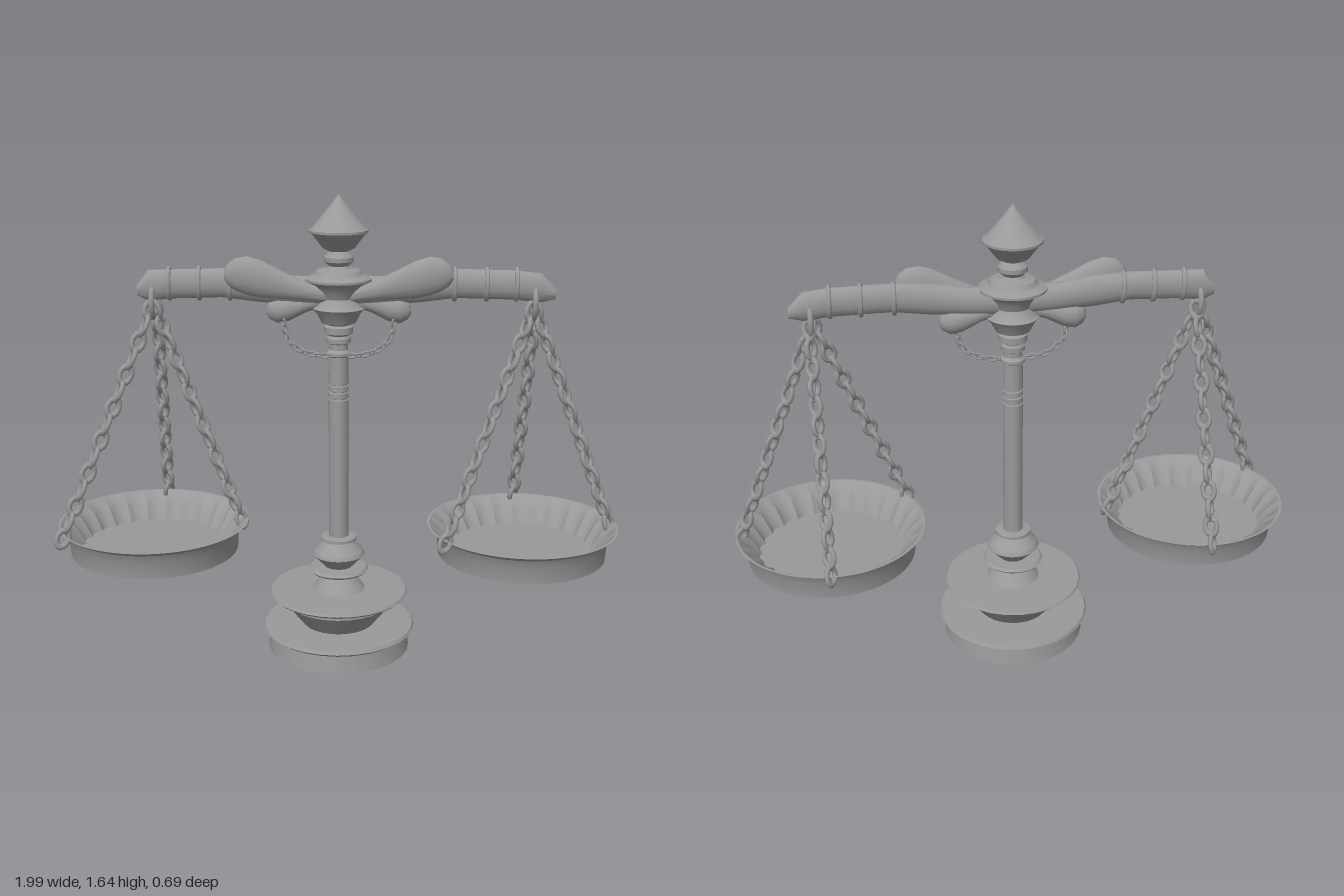
import * as THREE from 'three';
import { mergeGeometries, toCreasedNormals } from 'three/addons/utils/BufferGeometryUtils.js';

const CZ = -0.01; // depth of the column axis

export function createModel() {
  const model = new THREE.Group();
  model.name = 'balanceScale';
  const metal = new THREE.MeshStandardMaterial({ color: 0x999999 });
  metal.name = 'grey metal';

  const add = (name, geometry, x = 0, y = 0, z = 0) => {
    const mesh = new THREE.Mesh(geometry, metal);
    mesh.name = name;
    mesh.position.set(x, y, z);
    model.add(mesh);
    return mesh;
  };

  // Turned part from [radius, height] pairs, bottom to top
  const turned = (points, segments = 28) => toCreasedNormals(
    new THREE.LatheGeometry(points.map(([r, y]) => new THREE.Vector2(r, y)), segments), 0.5);

  // Elliptical sections [x, y, halfHeight, halfDepth] joined along x
  const loft = (sections, z = CZ, sides = 16) => {
    const list = [...sections].sort((a, b) => a[0] - b[0]);
    const first = list[0], last = list[list.length - 1];
    list.unshift([first[0], first[1], 0.0005, 0.0005]);
    list.push([last[0], last[1], 0.0005, 0.0005]);
    const pos = [], index = [];
    list.forEach(([x, y, h, d], i) => {
      for (let j = 0; j < sides; j++) {
        const a = (j / sides) * Math.PI * 2;
        pos.push(x, y + h * Math.cos(a), z + d * Math.sin(a));
        if (i === list.length - 1) continue;
        const p = i * sides + j, q = i * sides + (j + 1) % sides;
        index.push(p, q, p + sides, q, q + sides, p + sides);
      }
    });
    const g = new THREE.BufferGeometry();
    g.setAttribute('position', new THREE.Float32BufferAttribute(pos, 3));
    g.setIndex(index);
    return toCreasedNormals(g, 0.7);
  };

  // Oval links along a curve, every other one turned a quarter
  const chain = (curve, pitch, radius, wire, stretch) => {
    const count = Math.max(2, Math.round(curve.getLength() / pitch));
    const up = new THREE.Vector3(0, 1, 0), links = [];
    for (let i = 0; i <= count; i++) {
      const link = new THREE.TorusGeometry(radius, wire, 6, 14);
      link.scale(1, stretch, 1);
      link.rotateY(Math.PI / 4 + (i % 2) * Math.PI / 2);
      link.applyQuaternion(new THREE.Quaternion().setFromUnitVectors(up, curve.getTangentAt(i / count)));
      const p = curve.getPointAt(i / count);
      links.push(link.translate(p.x, p.y, p.z));
    }
    return mergeGeometries(links);
  };

  // Stepped foot
  add('base', turned([[0, 0], [0.257, 0], [0.248, 0.064], [0.26, 0.068], [0.276, 0.08],
    [0.27, 0.09], [0.13, 0.092], [0.195, 0.175], [0.19, 0.2], [0.24, 0.203], [0.25, 0.212],
    [0.245, 0.22], [0.096, 0.222], [0.048, 0.285], [0.1, 0.29], [0.108, 0.298], [0.1, 0.307],
    [0.05, 0.308], [0.094, 0.355], [0.088, 0.37], [0.048, 0.405], [0.064, 0.41], [0.064, 0.42],
    [0.034, 0.424]]), 0, 0, CZ);

  // Post with engraved grooves and collars
  const post = [[0.035, 0.42]];
  for (const y of [0.935, 0.96, 0.985])
    post.push([0.035, y - 0.004], [0.031, y - 0.002], [0.031, y + 0.002], [0.035, y + 0.004]);
  post.push([0.034, 1.085], [0.042, 1.09], [0.042, 1.1], [0.032, 1.11], [0.032, 1.13], [0.042, 1.135],
    [0.042, 1.15], [0.036, 1.16], [0.05, 1.168], [0.05, 1.19], [0.034, 1.2]);
  add('post', turned(post, 20), 0, 0, CZ);

  // Hub that carries the beam
  add('hub', turned([[0.034, 1.195], [0.06, 1.205], [0.075, 1.235], [0.09, 1.255], [0.075, 1.265],
    [0.06, 1.29], [0.07, 1.315], [0.085, 1.335], [0.115, 1.35], [0.115, 1.358], [0.085, 1.37],
    [0.075, 1.385], [0.04, 1.392], [0.034, 1.4], [0.05, 1.415], [0.05, 1.43], [0.03, 1.452]]), 0, 0, CZ);

  // Pointed finial
  add('finial', turned([[0, 1.445], [0.035, 1.45], [0.055, 1.46], [0.092, 1.508], [0.101, 1.514],
    [0.101, 1.522], [0.09, 1.527], [0, 1.64]]), 0, 0, CZ);

  // Flattened beam with cut ends
  add('beam', loft([[-0.69, 1.315, 0.02, 0.012], [-0.65, 1.33, 0.055, 0.028], [-0.58, 1.335, 0.05, 0.026],
    [-0.4, 1.34, 0.05, 0.028], [-0.28, 1.33, 0.055, 0.032], [-0.15, 1.315, 0.05, 0.036],
    [0, 1.31, 0.05, 0.04], [0.15, 1.315, 0.05, 0.036], [0.28, 1.33, 0.055, 0.032],
    [0.4, 1.34, 0.05, 0.028], [0.6, 1.335, 0.05, 0.026], [0.69, 1.325, 0.05, 0.028],
    [0.74, 1.305, 0.018, 0.012]]));
  for (const x of [-0.58, -0.477, -0.372, 0.395, 0.504, 0.605])
    add('beamRing', loft([[x - 0.008, 1.337, 0.054, 0.032], [x - 0.004, 1.337, 0.059, 0.036],
      [x + 0.004, 1.337, 0.059, 0.036], [x + 0.008, 1.337, 0.054, 0.032]]));

  for (const s of [-1, 1]) {
    // Teardrop leaf in front of the beam, and the lobe below it
    add('leaf', loft([[0.388, 1.372, 0.016, 0.01], [0.375, 1.373, 0.038, 0.02], [0.35, 1.373, 0.055, 0.028],
      [0.31, 1.369, 0.066, 0.032], [0.26, 1.357, 0.064, 0.032], [0.2, 1.34, 0.05, 0.027],
      [0.12, 1.318, 0.034, 0.022], [0.03, 1.3, 0.022, 0.02]]
      .map(([x, y, h, d]) => [s * x, y, h, d]), 0.018));
    add('lobe', loft([[0.248, 1.248, 0.015, 0.012], [0.237, 1.247, 0.032, 0.025], [0.21, 1.247, 0.046, 0.036],
      [0.17, 1.252, 0.043, 0.034], [0.11, 1.268, 0.028, 0.026], [0.03, 1.285, 0.022, 0.02]]
      .map(([x, y, h, d]) => [s * x, y, h, d])));
  }

  // Small chain slung between the lobes
  const swag = new THREE.CatmullRomCurve3([[-0.19, 1.21], [-0.175, 1.15], [-0.12, 1.105], [0, 1.09],
    [0.12, 1.105], [0.175, 1.15], [0.19, 1.21]].map(([x, y]) => new THREE.Vector3(x, y, 0.01)));
  add('swagChain', chain(swag, 0.023, 0.009, 0.004, 1.5));

  // Pan: plain outside, fluted inside wall
  const pan = () => {
    const points = [[0, 0], [0.298, 0], [0.302, 0.06], [0.315, 0.09], [0.338, 0.106],
      [0.329, 0.106], [0.3, 0.075], [0.262, 0.012], [0, 0.012]];
    const g = new THREE.LatheGeometry(points.map(([r, y]) => new THREE.Vector2(r, y)), 96);
    const p = g.attributes.position;
    for (let i = 0; i < p.count; i++) {
      const k = i % points.length;
      if (k !== 6 && k !== 7) continue;
      const turn = Math.floor(i / points.length) / 96;
      const f = 1 - 0.05 * (1 - Math.abs(Math.sin(turn * 24 * Math.PI)));
      p.setX(i, p.getX(i) * f);
      p.setZ(i, p.getZ(i) * f);
    }
    return toCreasedNormals(g, 0.45);
  };

  // Each side: hanging ring, three chains and a pan
  for (const [px, py, ax] of [[-0.662, 0.38, -0.637], [0.655, 0.372, 0.668]]) {
    add('pan', pan(), px, py, 0.01);
    const ring = add('hangingRing', new THREE.TorusGeometry(0.04, 0.01, 8, 20), ax, 1.275, CZ);
    ring.scale.y = 1.3;
    ring.rotation.y = Math.PI / 2;
    for (const [dx, dz, drop] of [[-0.285, 0.195, 0], [0.005, -0.325, 0], [0.312, -0.015, 0]]) {
      const top = new THREE.Vector3(ax + Math.sign(dx) * 0.008, 1.25, CZ + dz * 0.05);
      const end = new THREE.Vector3(px + dx, py + 0.105 - drop, dz + 0.01);
      add('panChain', chain(new THREE.LineCurve3(top, end), 0.062, 0.021, 0.009, 1.42));
    }
  }
  return model;
}
